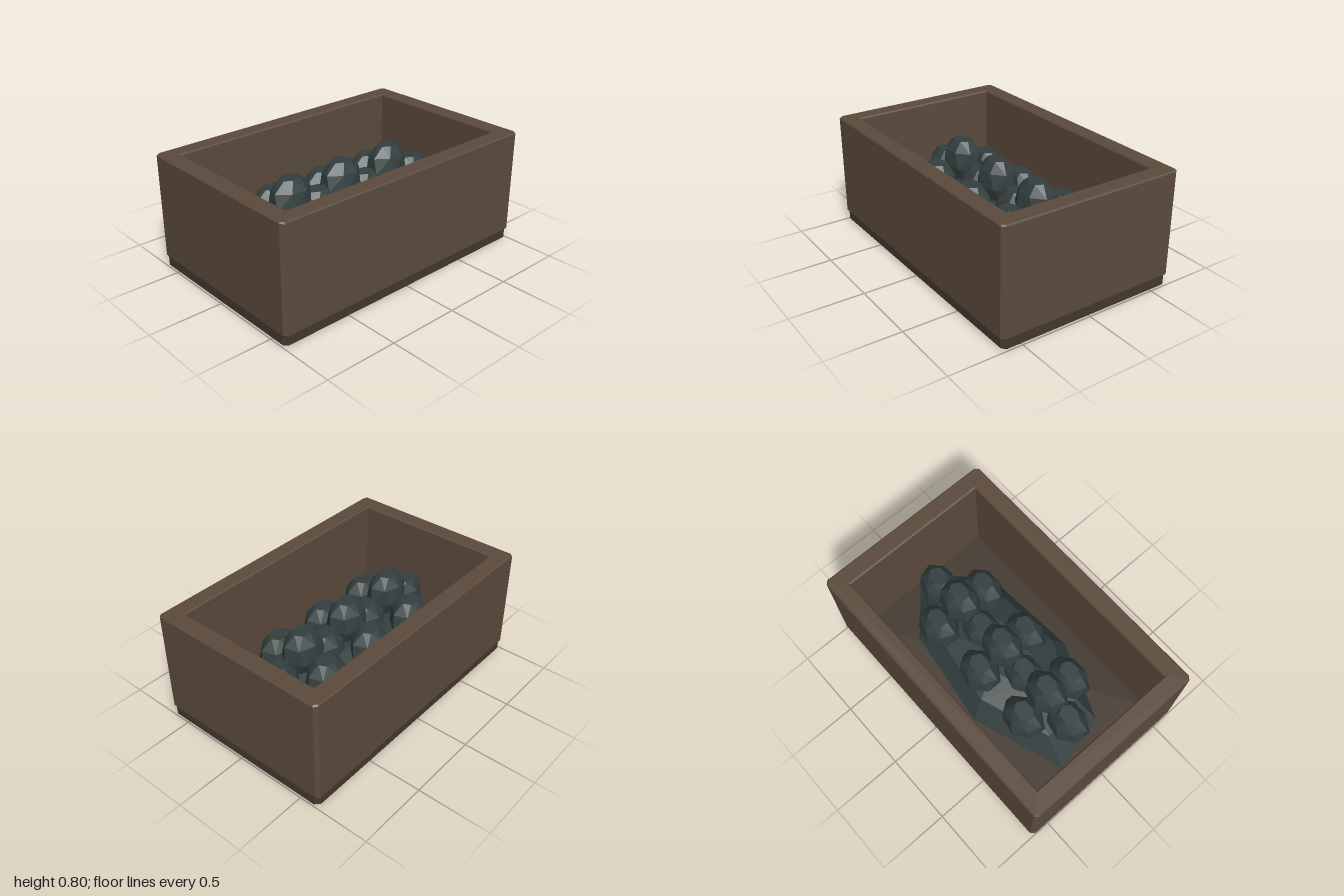
import * as THREE from 'three';
import { ConvexGeometry } from 'three/addons/geometries/ConvexGeometry.js';

const wood = new THREE.MeshStandardMaterial({ color: 0x5b4a3c, flatShading: true });
const darkWood = new THREE.MeshStandardMaterial({ color: 0x42382e, flatShading: true });
const stone = new THREE.MeshStandardMaterial({ color: 0x333e3e, flatShading: true });

// Rectangle with cut corners
function chamferedRect(w, d, c) {
  return new THREE.Shape([
    [w - c, -d], [w, c - d], [w, d - c], [w - c, d],
    [c - w, d], [-w, d - c], [-w, c - d], [c - w, -d],
  ].map(([x, y]) => new THREE.Vector2(x, y)));
}

// Extrude a plan upwards from y0 to y1 with a small bevel on all rims
function raise(shape, y0, y1, bevel) {
  const geometry = new THREE.ExtrudeGeometry(shape, {
    depth: y1 - y0 - 2 * bevel, bevelThickness: bevel, bevelSize: bevel,
    bevelOffset: -bevel, bevelSegments: 1,
  });
  return geometry.rotateX(-Math.PI / 2).translate(0, y0 + bevel, 0);
}

function addMesh(parent, name, geometry, material) {
  const mesh = new THREE.Mesh(geometry, material);
  mesh.name = name;
  parent.add(mesh);
  return mesh;
}

// Faceted lump: seven-sided rings with slightly uneven radii
function lumpGeometry() {
  const points = [];
  const rings = [[0.46, 0.145], [0.86, 0.075], [1, -0.03], [0.75, -0.12]];
  rings.forEach(([r, y], k) => {
    for (let i = 0; i < 7; i++) {
      const a = (i + (k % 2) * 0.25) / 7 * Math.PI * 2;
      const wobble = 1 + 0.05 * Math.sin(i * 2.3 + k);
      points.push(new THREE.Vector3(Math.cos(a) * r * wobble * 0.16, y, Math.sin(a) * r * wobble * 0.127));
    }
  });
  return new ConvexGeometry(points);
}

// Faceted mound: an irregular outline narrowing in steps
function moundGeometry() {
  const outline = [
    [-0.82, -0.21], [-0.18, -0.43], [0.52, -0.33], [0.88, -0.02],
    [0.55, 0.35], [-0.18, 0.4], [-0.72, 0.19],
  ];
  const steps = [[0.8, 0.1], [1, 0.19], [0.76, 0.34], [0.35, 0.41]];
  return new ConvexGeometry(steps.flatMap(([s, y]) =>
    outline.map(([x, z]) => new THREE.Vector3(x * s, y, z * s))));
}

export function createModel() {
  const model = new THREE.Group();
  model.name = 'filledBox';

  // Dark base, also forming the inner floor
  addMesh(model, 'base', raise(chamferedRect(0.996, 0.633, 0.03), 0, 0.11, 0.014), darkWood);

  // Four walls as one bevelled frame
  const frame = chamferedRect(1, 0.642, 0.022);
  const hole = [[-0.88, -0.525], [-0.88, 0.525], [0.88, 0.525], [0.88, -0.525]];
  frame.holes.push(new THREE.Path(hole.map(([x, y]) => new THREE.Vector2(x, y))));
  addMesh(model, 'walls', raise(frame, 0.075, 0.8, 0.009), wood);

  // Mound with lumps stacked in two layers
  addMesh(model, 'mound', moundGeometry(), stone);
  const lumps = new THREE.Group();
  lumps.name = 'lumps';
  model.add(lumps);
  const geometry = lumpGeometry();
  const addLump = (name, x, y, z) =>
    addMesh(lumps, name, geometry, stone).position.set(x, y, z);
  for (const x of [-0.425, 0, 0.425]) {
    addLump('topLump', x, 0.53, -0.015);
    addLump('backLump', x, 0.4, -0.21);
    addLump('frontLump', x, 0.4, 0.19);
  }
  for (const x of [-0.635, -0.21, 0.21, 0.655]) addLump('middleLump', x, 0.39, -0.01);

  return model;
}
